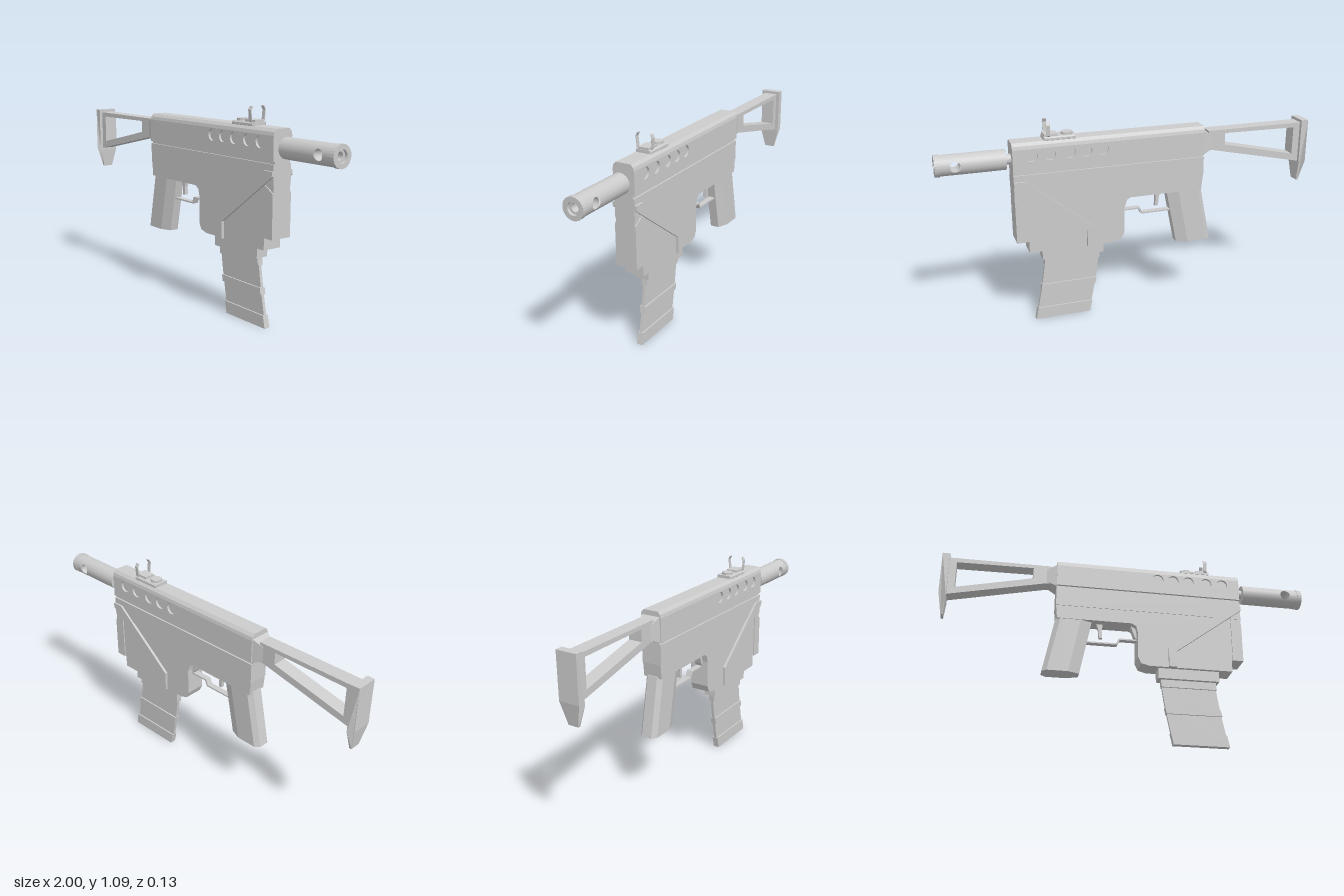
import * as THREE from 'three';

const flat = new THREE.MeshStandardMaterial({ color: 0xcccccc, flatShading: true });
const thin = new THREE.MeshStandardMaterial({ color: 0xcccccc, flatShading: true, side: THREE.DoubleSide });
const smooth = new THREE.MeshStandardMaterial({ color: 0xcccccc, side: THREE.DoubleSide });

const polygon = (pts) => new THREE.Shape(pts.map(([x, y]) => new THREE.Vector2(x, y)));

// Side profile (x, y) extruded from z0 to z1, with optional bevelled rims
function slab(pts, z0, z1, { holes = [], bevel = 0 } = {}) {
  const shape = polygon(pts);
  shape.holes.push(...holes);
  const geo = new THREE.ExtrudeGeometry(shape, {
    depth: z1 - z0 - 2 * bevel, curveSegments: 16, bevelEnabled: bevel > 0,
    bevelSize: bevel, bevelOffset: -bevel, bevelThickness: bevel, bevelSegments: 1,
  });
  return geo.translate(0, 0, z0 + bevel);
}
const rect = (x0, y0, x1, y1) => [[x0, y0], [x1, y0], [x1, y1], [x0, y1]];
const block = (x0, x1, y0, y1, h) =>
  new THREE.BoxGeometry(x1 - x0, y1 - y0, 2 * h).translate((x0 + x1) / 2, (y0 + y1) / 2, 0);

// End profile (z, y) extruded along x
const endExtrude = (pts, x0, x1) =>
  new THREE.ExtrudeGeometry(polygon(pts.map(([z, y]) => [-z, y])), { depth: x1 - x0, bevelEnabled: false })
    .rotateY(Math.PI / 2).translate(x0, 0, 0);

export function createModel() {
  const model = new THREE.Group();
  const add = (name, geo, mat = flat, parent = model) => {
    const mesh = new THREE.Mesh(geo, mat);
    mesh.name = name;
    parent.add(mesh);
    return mesh;
  };
  const group = (name) => {
    const g = new THREE.Group();
    g.name = name;
    model.add(g);
    return g;
  };

  // Upper housing: core, chamfered top and two side plates with round recesses
  const upper = group('upperHousing');
  const X0 = -0.388, X1 = 0.628;
  add('upperCore', block(X0, X1, 0.83, 0.965, 0.046), flat, upper);
  add('upperTop', endExtrude([[-0.058, 0.965], [0.058, 0.965], [0.054, 0.982], [0.04, 0.997],
    [-0.04, 0.997], [-0.054, 0.982]], X0, X1), flat, upper);
  for (const z0 of [0.046, -0.058]) {
    const holes = [0.168, 0.254, 0.34, 0.441, 0.532].map((x) =>
      new THREE.Path().absarc(x, 0.93, 0.03, 0, Math.PI * 2, true));
    add('sidePlate', slab(rect(X0, 0.845, X1, 0.965), z0, z0 + 0.012, { holes }), flat, upper);
  }

  // Lower housing with the deep front well
  const lower = group('lowerHousing');
  add('lowerBody', slab([[X0, 0.73], [-0.38, 0.65], [0.02, 0.65], [0.045, 0.635], [0.053, 0.6],
    [0.053, 0.46], [0.07, 0.422], [0.115, 0.41], [0.565, 0.41], [0.565, 0.473], [X1, 0.473], [X1, 0.73]],
  -0.052, 0.052), flat, lower);
  add('middleBand', block(X0, X1, 0.725, 0.832, 0.055), flat, lower);
  add('frontBlock', slab([[0.57, 0.473], [X1, 0.473], [X1, 0.695], [0.57, 0.73]], -0.058, 0.058), flat, lower);
  for (const s of [1, -1]) {
    const ridge = [[0.218, 0.41], [0.26, 0.41], [0.26, 0.5], [X1, 0.775], [X1, 0.8], [0.57, 0.8], [0.218, 0.515]];
    add('sideRidge', s > 0 ? slab(ridge, 0.05, 0.066) : slab(ridge, -0.066, -0.05), flat, lower);
  }

  // Collar and flat curved magazine with three thicker bands
  add('magazineCollar', block(0.165, 0.495, 0.353, 0.412, 0.034));
  const magazine = group('magazine');
  const backEdge = (y) => 0.184 + 0.06 * Math.pow(1 - y / 0.355, 1.3);
  const curved = (y0, y1, grow) => {
    const ys = Array.from({ length: 9 }, (_, i) => y0 + (y1 - y0) * i / 8);
    return [...ys.map((y) => [backEdge(y) + 0.294 + grow, y]),
      ...ys.reverse().map((y) => [backEdge(y) - grow, y])];
  };
  add('magazineCore', slab(curved(0.02, 0.355, 0), -0.008, 0.008), flat, magazine);
  for (const [y0, y1] of [[0, 0.064], [0.165, 0.2], [0.312, 0.355]])
    add('magazineBand', slab(curved(y0, y1, 0.002), -0.016, 0.016), flat, magazine);

  // Slanted grip: chamfered section pushed back towards the bottom
  const section = [[-0.385, -0.028], [-0.36, -0.048], [-0.25, -0.048], [-0.19, -0.024],
    [-0.19, 0.024], [-0.25, 0.048], [-0.36, 0.048], [-0.385, 0.028]];
  const grip = new THREE.ExtrudeGeometry(polygon(section), { depth: 0.31, bevelEnabled: false })
    .rotateX(-Math.PI / 2).translate(0, 0.35, 0);
  const gp = grip.attributes.position;
  for (let i = 0; i < gp.count; i++) gp.setX(i, gp.getX(i) - 0.2 * (0.66 - gp.getY(i)));
  add('grip', grip);

  // Trigger and its guard
  add('trigger', slab([[-0.165, 0.655], [-0.152, 0.61], [-0.15, 0.57], [-0.132, 0.57],
    [-0.135, 0.61], [-0.13, 0.655]], -0.01, 0.01));
  add('triggerGuard', slab([[-0.215, 0.535], [-0.052, 0.535], [-0.038, 0.565], [0.06, 0.565],
    [0.06, 0.573], [-0.045, 0.573], [-0.058, 0.543], [-0.215, 0.543]], -0.016, 0.016));
  add('guardWeb', slab([[0.02, 0.652], [0.055, 0.652], [0.055, 0.565], [0.04, 0.59]], -0.02, 0.02));

  // Stock: tapered hinge, open triangular frame and pointed butt plate
  const stock = group('stock');
  const hinge = block(-0.445, -0.386, 0.84, 0.972, 0.052);
  const hp = hinge.attributes.position;
  for (let i = 0; i < hp.count; i++) if (hp.getX(i) < -0.42) {
    hp.setY(i, 0.906 + (hp.getY(i) - 0.906) * 0.55);
    hp.setZ(i, hp.getZ(i) * 0.7);
  }
  add('hinge', hinge, flat, stock);
  const opening = new THREE.Path([[-0.923, 0.94], [-0.515, 0.945], [-0.515, 0.882], [-0.923, 0.79]]
    .map(([x, y]) => new THREE.Vector2(x, y)));
  add('stockFrame', slab([[-0.97, 0.965], [-0.97, 0.743], [-0.445, 0.858], [-0.42, 0.858], [-0.42, 0.965]],
    -0.037, 0.037, { holes: [opening] }), flat, stock);
  const butt = slab([[-1, 0.98], [-1, 0.745], [-0.98, 0.63], [-0.968, 0.63], [-0.961, 0.73], [-0.961, 0.98]],
    -0.055, 0.055);
  const bp = butt.attributes.position;
  for (let i = 0; i < bp.count; i++) if (bp.getY(i) < 0.7) bp.setZ(i, bp.getZ(i) * 0.5);
  add('buttPlate', butt, flat, stock);

  // Barrel shroud: two half shells, each a ring of strips around a cross hole
  const barrel = group('barrel');
  const Y = 0.908, R = 0.052, holeX = 0.903, holeR = 0.027, back = 0.655, front = 0.985;
  const shell = new THREE.PlaneGeometry(1, 1, 48, 6);
  const sp = shell.attributes.position, sn = shell.attributes.normal;
  for (let i = 0; i < sp.count; i++) {
    const a = -2 * Math.PI * (sp.getX(i) + 0.5), t = sp.getY(i) + 0.5;
    const c = Math.cos(a), s = Math.sin(a), m = Math.max(Math.abs(c), Math.abs(s));
    const edgeX = (c / m) * (c > 0 ? front - holeX : holeX - back);
    const dx = THREE.MathUtils.lerp(holeR * c, edgeX, t);
    const phi = THREE.MathUtils.lerp(Math.asin(holeR * s / R), (s / m) * Math.PI / 2, t);
    sp.setXYZ(i, holeX + dx, R * Math.sin(phi), R * Math.cos(phi));
    sn.setXYZ(i, 0, Math.sin(phi), Math.cos(phi));
  }
  for (const turn of [0, Math.PI]) {
    const half = add('shroudHalf', shell, smooth, barrel);
    half.position.y = Y;
    half.rotation.x = turn;
  }
  add('crossHoleWall', new THREE.CylinderGeometry(holeR, holeR, 0.088, 24, 1, true)
    .rotateX(Math.PI / 2).translate(holeX, Y, 0), smooth, barrel);
  const lathe = (pts) => new THREE.LatheGeometry(pts.map(([x, r]) => new THREE.Vector2(r, x)), 24)
    .rotateZ(-Math.PI / 2).translate(0, Y, 0);
  add('muzzle', lathe([[0.975, R], [0.975, 0.055], [1, 0.055], [1, 0.031], [0.985, 0.031],
    [0.985, 0.02], [0.945, 0.02], [0.945, 0]]), thin, barrel);
  add('shroudBack', lathe([[0.62, 0.026], [0.655, 0.026], [0.655, R]]), thin, barrel);

  // Sight: base, round knob, block and a pair of bent posts
  const sight = group('sight');
  add('sightBase', slab(rect(0.3, 0.99, 0.465, 1.013), -0.043, 0.043, { bevel: 0.006 }), flat, sight);
  add('sightKnob', new THREE.CylinderGeometry(0.03, 0.03, 0.016, 16).translate(0.34, 1.017, 0), flat, sight);
  add('sightBlock', block(0.39, 0.462, 1.01, 1.024, 0.03), flat, sight);
  for (const s of [1, -1]) {
    const path = [[0.036, 1.012], [0.042, 1.018], [0.047, 1.072], [0.038, 1.09],
      [0.034, 1.088], [0.043, 1.07], [0.038, 1.02]].map(([z, y]) => [s * z, y]);
    add('sightPost', endExtrude(path, 0.433, 0.453), thin, sight);
  }
  return model;
}
